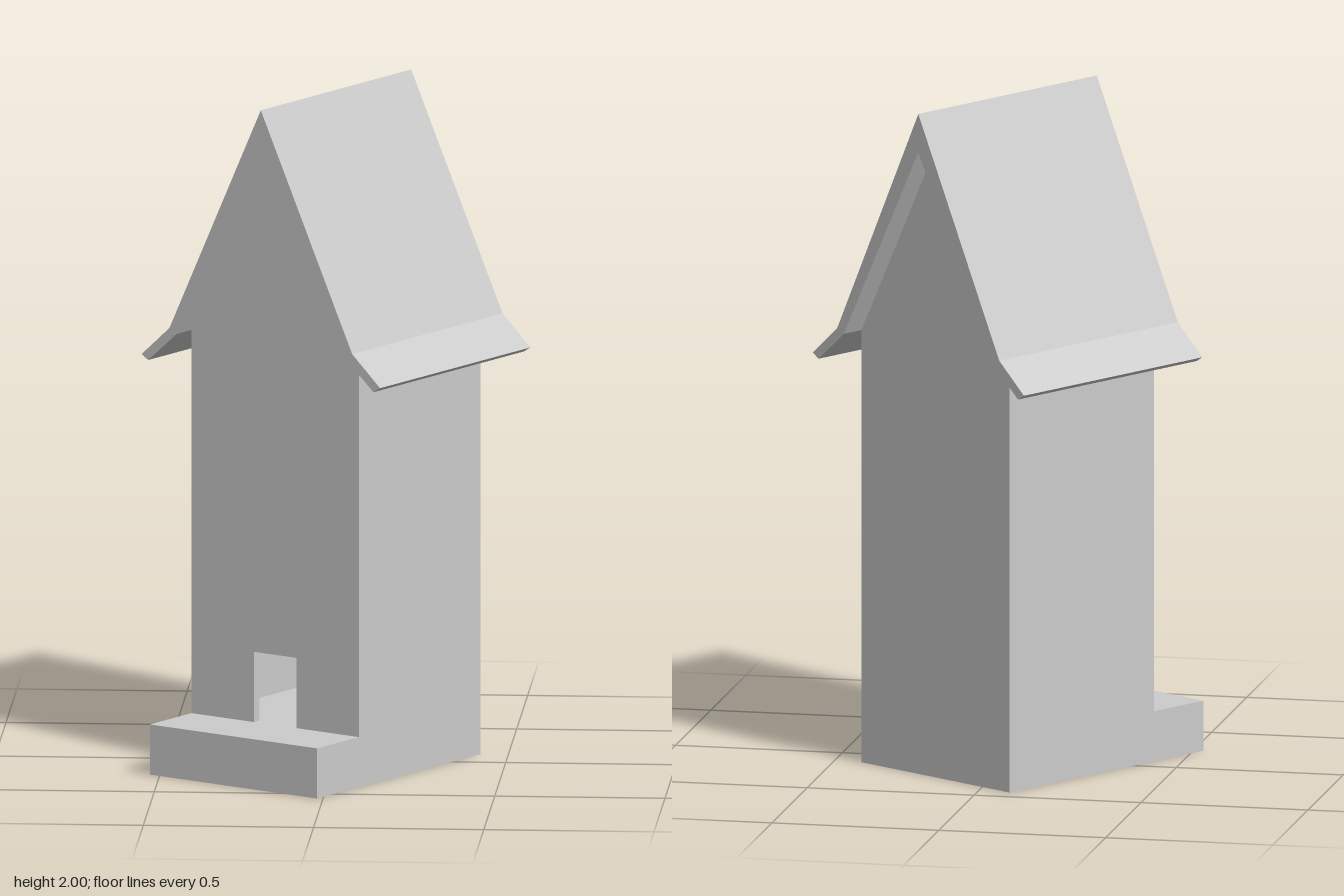
import * as THREE from 'three';

const HALF = 0.303;    // half width and half depth of the tower
const WALL = 0.028;    // wall thickness
const BASE = 0.15;     // base height
const EAVE = 1.295;    // height of the side walls
const PEAK = 1.885;    // top of the gable walls
const PORCH = 0.511;   // front edge of the base

export function createModel() {
  const model = new THREE.Group();
  const house = new THREE.Group();
  house.name = 'house';
  model.add(house);
  const material = new THREE.MeshStandardMaterial({ color: 0xcccccc, flatShading: true });

  const add = (name, geometry, x, y, z) => {
    const mesh = new THREE.Mesh(geometry, material);
    mesh.name = name;
    mesh.position.set(x, y, z);
    house.add(mesh);
  };
  const polygon = (points) => new THREE.Shape(points.map(([x, y]) => new THREE.Vector2(x, y)));
  const extrude = (shape, depth) => new THREE.ExtrudeGeometry(shape, { depth, bevelEnabled: false });

  // Base slab reaching forward as a porch
  add('base', new THREE.BoxGeometry(2 * HALF, BASE, HALF + PORCH), 0, BASE / 2, (PORCH - HALF) / 2);

  // Gable walls; the front outline runs around the open doorway
  const gable = [[HALF, BASE], [HALF, EAVE], [0, PEAK], [-HALF, EAVE], [-HALF, BASE]];
  const door = [[-0.077, BASE], [-0.077, 0.36], [0.077, 0.36], [0.077, BASE]];
  add('frontWall', extrude(polygon([...gable, ...door]), WALL), 0, 0, HALF - WALL);
  add('backWall', extrude(polygon(gable), WALL), 0, 0, -HALF);

  // Side walls between the gables
  for (const [name, side] of [['leftWall', 1], ['rightWall', -1]]) {
    add(name, new THREE.BoxGeometry(WALL, EAVE - BASE, 2 * (HALF - WALL)),
      side * (HALF - WALL / 2), (EAVE + BASE) / 2, 0);
  }

  // Steep roof with flared eaves, one mirrored cross-section
  const outer = [[0.331, 1.31], [0.432, 1.22]];
  const inner = [[0.408, 1.205], [0.305, 1.295]];
  const half = [...outer, ...inner];
  const mirrored = half.map(([x, y]) => [-x, y]).reverse();
  const roof = polygon([[0, 2], ...half, [0, PEAK], ...mirrored]);
  add('roof', extrude(roof, 0.75), 0, 0, -0.375);

  // The house stands turned on its plot
  house.rotation.y = -0.564;
  house.position.z = -0.024;
  return model;
}
